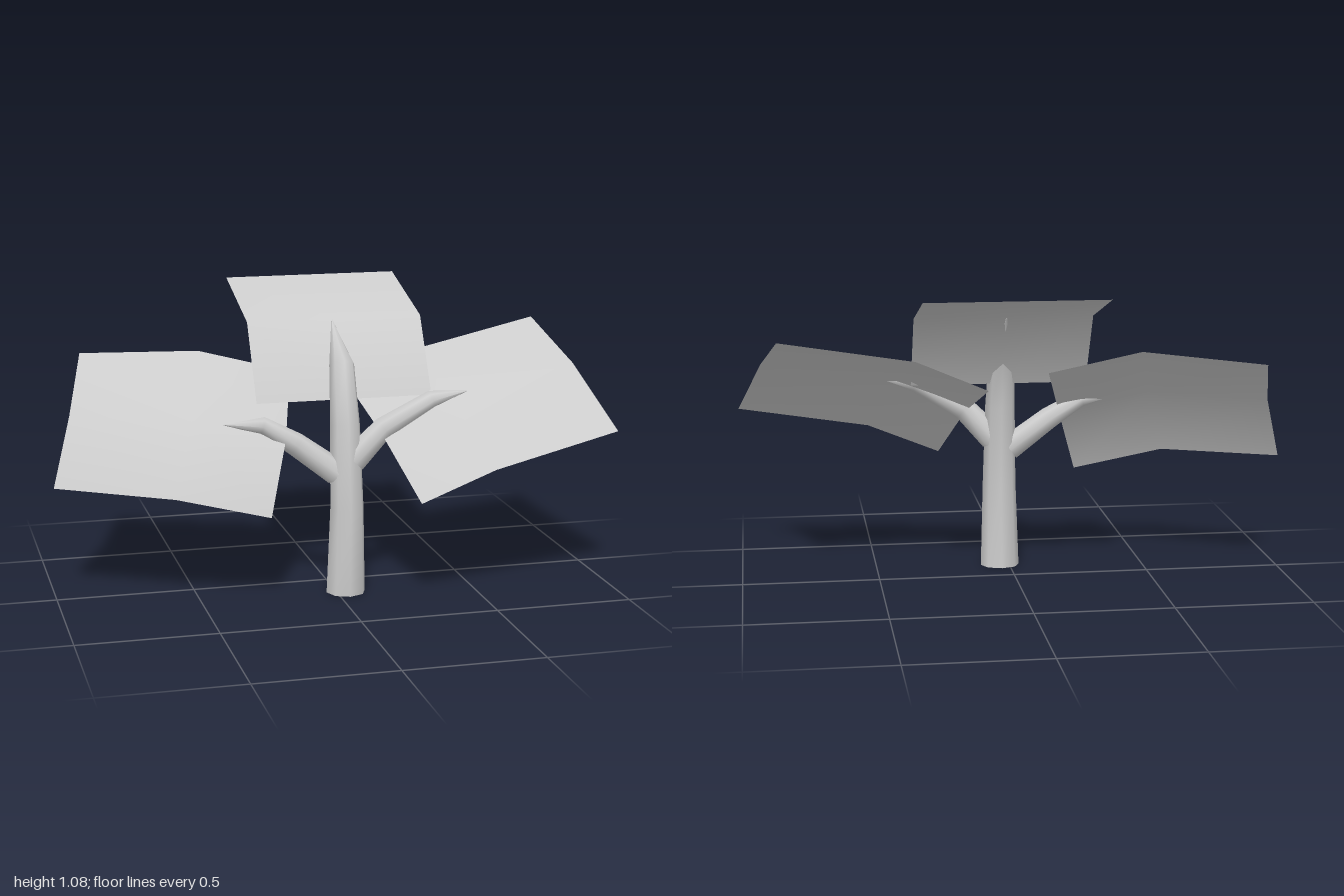
import * as THREE from 'three';

const SIDES = 8;
const material = new THREE.MeshStandardMaterial({ color: 0xcccccc });
const leafMaterial = new THREE.MeshStandardMaterial({ color: 0xcccccc, side: THREE.DoubleSide });

function makeMesh(name, positions, index, mat) {
  const geometry = new THREE.BufferGeometry();
  geometry.setAttribute('position', new THREE.Float32BufferAttribute(positions, 3));
  geometry.setIndex(index);
  geometry.computeVertexNormals();
  const mesh = new THREE.Mesh(geometry, mat);
  mesh.name = name;
  return mesh;
}

// Tapered limb through rings [x, y, z, radius], closed at its base
function limb(name, rings, axis) {
  const centres = rings.map(([x, y, z]) => new THREE.Vector3(x, y, z));
  const positions = [], index = [];
  const last = rings.length - 1;
  centres.forEach((c, i) => {
    const t = centres[Math.min(i + 1, last)].clone().sub(centres[Math.max(i - 1, 0)]).normalize();
    const b = t.clone().cross(axis).normalize();
    for (let j = 0; j < SIDES; j++) {
      const angle = (j / SIDES) * Math.PI * 2;
      const p = c.clone()
        .addScaledVector(axis, rings[i][3] * Math.cos(angle))
        .addScaledVector(b, rings[i][3] * Math.sin(angle));
      positions.push(p.x, Math.max(p.y, 0), p.z);
    }
  });
  for (let i = 0; i < last; i++) {
    for (let j = 0; j < SIDES; j++) {
      const k = (j + 1) % SIDES;
      const a = i * SIDES + j, b = i * SIDES + k;
      index.push(a, b, b + SIDES, a, b + SIDES, a + SIDES);
    }
  }
  // Base cap with its own vertices
  const start = positions.length / 3;
  positions.push(...positions.slice(0, SIDES * 3), ...rings[0].slice(0, 3));
  for (let j = 0; j < SIDES; j++) index.push(start + SIDES, start + (j + 1) % SIDES, start + j);
  return makeMesh(name, positions, index, material);
}

// Bent sheet from rows of points, back row first, each row running towards +x
function leaf(name, rows) {
  const columns = rows[0].length, index = [];
  for (let i = 0; i < rows.length - 1; i++) {
    for (let j = 0; j < columns - 1; j++) {
      const a = i * columns + j, b = a + columns;
      index.push(a, b, b + 1, a, b + 1, a + 1);
    }
  }
  return makeMesh(name, rows.flat(2), index, leafMaterial);
}

export function createModel() {
  const group = new THREE.Group();
  group.name = 'tree';
  const xAxis = new THREE.Vector3(1, 0, 0);
  const zAxis = new THREE.Vector3(0, 0, 1);

  // Trunk, leaning back into a pointed tip
  group.add(limb('trunk', [
    [0.035, 0, 0.152, 0.072],
    [0.035, 0.32, 0.167, 0.062],
    [0.035, 0.62, 0.138, 0.055],
    [0.035, 0.83, 0.088, 0.046],
    [0.035, 0.972, -0.058, 0.001],
  ], xAxis));

  // Side branches
  group.add(limb('rightBranch', [
    [0.0, 0.45, 0.15, 0.048],
    [-0.15, 0.562, 0.145, 0.042],
    [-0.27, 0.635, 0.14, 0.032],
    [-0.41, 0.645, 0.14, 0.001],
  ], zAxis));
  group.add(limb('leftBranch', [
    [0.06, 0.49, 0.157, 0.05],
    [0.17, 0.605, 0.162, 0.043],
    [0.35, 0.703, 0.162, 0.033],
    [0.485, 0.725, 0.16, 0.001],
  ], zAxis));

  // Top leaf: one profile [y, z] carried across x
  const profile = [[1.08, -0.43], [0.973, -0.055], [0.705, 0.098]];
  group.add(leaf('topLeaf', profile.map(([y, z]) => [-0.28, 0.045, 0.37].map((x) => [x, y, z]))));

  // Side leaves, bent both ways
  group.add(leaf('rightLeaf', [
    [[-0.85, 0.83, -0.36], [-0.44, 0.855, -0.17], [-0.11, 0.775, -0.11]],
    [[-0.925, 0.655, -0.09], [-0.52, 0.66, 0.115], [-0.19, 0.585, 0.17]],
    [[-1, 0.42, -0.02], [-0.6, 0.41, 0.24], [-0.27, 0.335, 0.29]].map((p, i) => (i ? p : [p[0], p[1], 0.02])),
  ]));
  group.add(leaf('leftLeaf', [
    [[0.11, 0.72, -0.135], [0.37, 0.83, -0.13], [0.86, 0.92, -0.21]],
    [[0.16, 0.59, 0.175], [0.425, 0.7, 0.18], [0.915, 0.795, 0.1]],
    [[0.24, 0.387, 0.42], [0.51, 0.495, 0.428], [1, 0.588, 0.345]],
  ]));
  return group;
}
